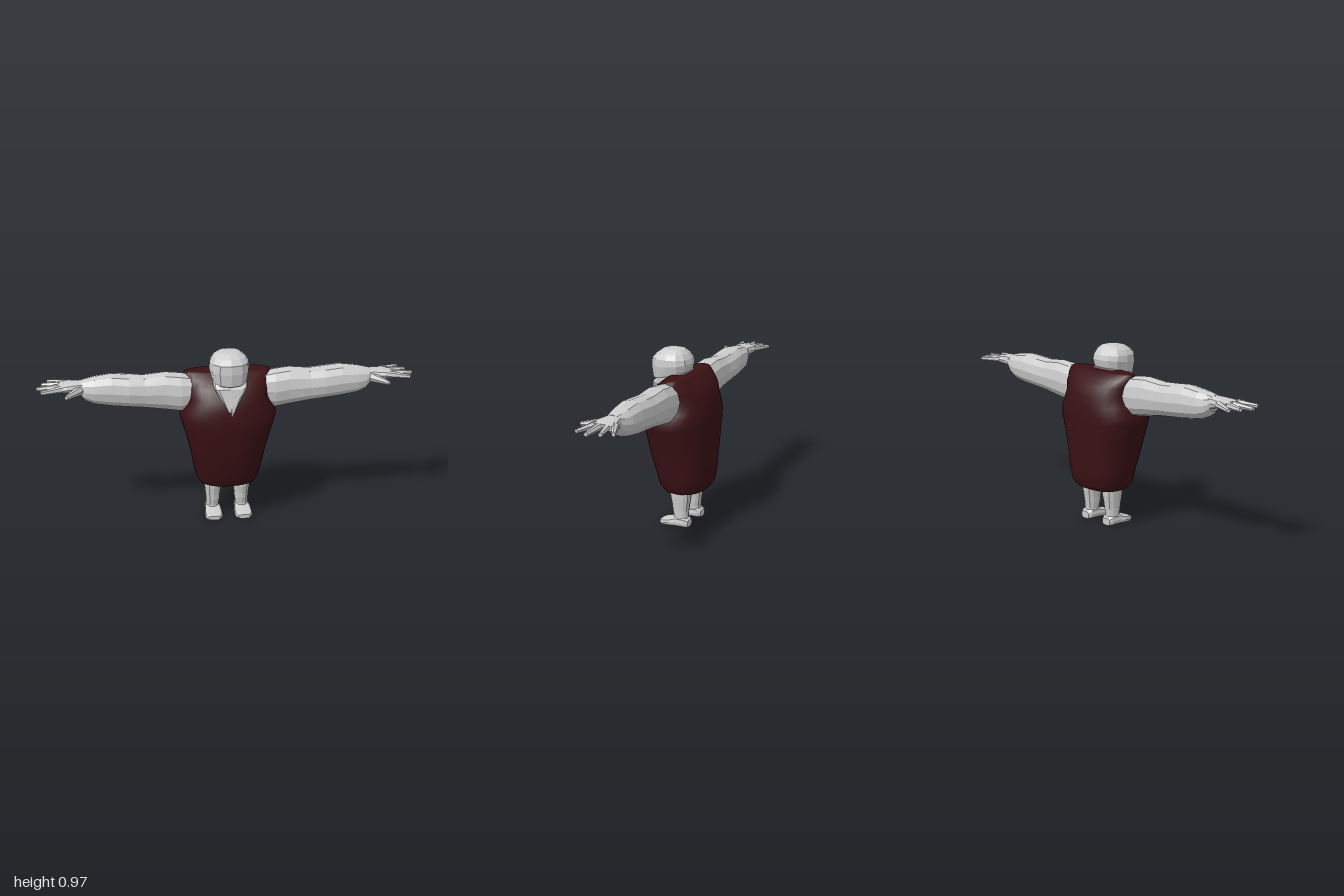
import * as THREE from 'three';

const skin = new THREE.MeshStandardMaterial({ color: 0xcccccc, flatShading: true });
const cloth = new THREE.MeshStandardMaterial({ color: 0x3a1114 });

// Where each ring's (t, a, b) goes for a loft running along that axis.
const place = {
  x: (t, a, b) => [t, b, a],
  y: (t, a, b) => [a, t, b],
  z: (t, a, b) => [b, a, t],
};

// Closed loft. Each ring is [t, aMin, aMax, bMin, bMax, tilt]; p squares off the outline.
function loft(name, axis, rings, n, p, material) {
  const pos = [], index = [];
  const bend = (v) => Math.sign(v) * Math.abs(v) ** (2 / p);
  for (const [t, a0, a1, b0, b1, tilt = 0] of rings) {
    for (let i = 0; i < n; i++) {
      const q = (i / n) * Math.PI * 2;
      const a = (a0 + a1) / 2 + ((a1 - a0) / 2) * bend(Math.cos(q));
      const b = (b0 + b1) / 2 + ((b1 - b0) / 2) * bend(Math.sin(q));
      pos.push(...place[axis](t + tilt * b, a, b));
    }
  }
  for (let r = 0; r < rings.length - 1; r++) {
    for (let i = 0; i < n; i++) {
      const a = r * n + i, b = r * n + ((i + 1) % n);
      index.push(a, a + n, b, b, a + n, b + n);
    }
  }
  // end caps
  for (const r of [0, rings.length - 1]) {
    const [t, a0, a1, b0, b1, tilt = 0] = rings[r];
    const mid = (b0 + b1) / 2, c = pos.length / 3;
    pos.push(...place[axis](t + tilt * mid, (a0 + a1) / 2, mid));
    for (let i = 0; i < n; i++) {
      const a = r * n + i, b = r * n + ((i + 1) % n);
      if (r === 0) index.push(c, a, b);
      else index.push(c, b, a);
    }
  }
  const g = new THREE.BufferGeometry();
  g.setAttribute('position', new THREE.Float32BufferAttribute(pos, 3));
  g.setIndex(index);
  g.computeVertexNormals();
  const mesh = new THREE.Mesh(g, material);
  mesh.name = name;
  return mesh;
}

// Tapered finger from one point to another.
function finger(name, from, to, r0, r1) {
  const a = new THREE.Vector3(...from), b = new THREE.Vector3(...to);
  const mesh = new THREE.Mesh(new THREE.CylinderGeometry(r1, r0, a.distanceTo(b), 6, 2), skin);
  mesh.position.copy(a).add(b).multiplyScalar(0.5);
  mesh.quaternion.setFromUnitVectors(new THREE.Vector3(0, 1, 0), b.sub(a).normalize());
  mesh.name = name;
  return mesh;
}

function makeArm() {
  const arm = new THREE.Group();
  // rings: x, back z, front z, low y, high y
  arm.add(loft('upperAndLowerArm', 'x', [
    [0.16, -0.07, 0.07, 0.66, 0.82],
    [0.25, -0.08, 0.08, 0.628, 0.84],
    [0.33, -0.08, 0.075, 0.64, 0.848],
    [0.44, -0.078, 0.075, 0.658, 0.837],
    [0.52, -0.085, 0.08, 0.667, 0.842],
    [0.61, -0.083, 0.073, 0.675, 0.85],
    [0.70, -0.075, 0.065, 0.69, 0.838],
    [0.745, -0.06, 0.055, 0.71, 0.828],
    [0.775, -0.048, 0.043, 0.742, 0.82],
  ], 12, 2.2, skin));
  arm.add(loft('palm', 'x', [
    [0.75, -0.045, 0.042, 0.745, 0.818],
    [0.79, -0.053, 0.05, 0.758, 0.818],
    [0.84, -0.068, 0.062, 0.768, 0.814],
    [0.885, -0.066, 0.06, 0.774, 0.807],
  ], 10, 2.8, skin));
  // root and tip as [x, z]
  const fingers = [
    [[0.84, -0.052], [0.945, -0.102]],
    [[0.86, -0.027], [0.975, -0.05]],
    [[0.86, 0.008], [1.0, 0.012]],
    [[0.86, 0.04], [0.975, 0.077]],
  ];
  for (const [[x0, z0], [x1, z1]] of fingers) {
    arm.add(finger('finger', [x0, 0.792, z0], [x1, 0.787, z1], 0.019, 0.011));
  }
  arm.add(finger('thumb', [0.775, 0.778, 0.03], [0.845, 0.778, 0.135], 0.026, 0.011));
  return arm;
}

function makeLeg() {
  const leg = new THREE.Group();
  // rings: y, inner x, outer x, back z, front z
  leg.add(loft('lowerLeg', 'y', [
    [0.03, 0.045, 0.118, -0.064, 0.02],
    [0.06, 0.046, 0.116, -0.062, 0.018],
    [0.095, 0.041, 0.117, -0.066, 0.026],
    [0.125, 0.039, 0.12, -0.07, 0.029],
    [0.17, 0.032, 0.125, -0.078, 0.038],
    [0.24, 0.03, 0.13, -0.08, 0.042],
  ], 12, 2.2, skin));
  // rings: z, low y, high y, inner x, outer x
  leg.add(loft('foot', 'z', [
    [-0.073, 0.003, 0.043, 0.055, 0.112],
    [-0.055, 0, 0.056, 0.042, 0.122],
    [0.0, 0, 0.058, 0.038, 0.125],
    [0.03, 0, 0.046, 0.034, 0.13],
    [0.07, 0, 0.036, 0.034, 0.13],
    [0.092, 0.004, 0.028, 0.05, 0.115],
  ], 12, 3.2, skin));
  return leg;
}

export function createModel() {
  const model = new THREE.Group();
  model.name = 'stoutFigure';

  // tunic: half width, back z, front z at each height
  const tunic = [
    [0.192, 0.115, -0.10, 0.06],
    [0.205, 0.15, -0.135, 0.09],
    [0.235, 0.17, -0.158, 0.114],
    [0.30, 0.185, -0.17, 0.13],
    [0.40, 0.203, -0.174, 0.16],
    [0.50, 0.228, -0.18, 0.177],
    [0.58, 0.252, -0.183, 0.185],
    [0.62, 0.26, -0.183, 0.184],
    [0.67, 0.236, -0.182, 0.178],
    [0.72, 0.218, -0.172, 0.165],
    [0.775, 0.224, -0.155, 0.13],
    [0.81, 0.229, -0.122, 0.088],
    [0.838, 0.23, -0.085, 0.045],
    [0.845, 0.21, -0.07, 0.03],
  ].map(([y, w, back, front]) => [y, -w, w, back, front]);
  model.add(loft('tunic', 'y', tunic, 28, 2.4, cloth));

  // bare chest and neck showing through the V opening
  const chest = [
    [0.645, 0.003, 0.182],
    [0.70, 0.036, 0.176],
    [0.745, 0.062, 0.166],
    [0.79, 0.088, 0.158],
    [0.82, 0.09, 0.13],
    [0.85, 0.075, 0.09],
  ].map(([y, w, front]) => [y, -w, w, -0.03, front]);
  model.add(loft('chestAndNeck', 'y', chest, 16, 6, skin));

  // head, its jaw line rising toward the back
  const head = [
    [0.832, 0.075, -0.02, 0.14, -0.28],
    [0.85, 0.094, -0.038, 0.168, -0.26],
    [0.89, 0.105, -0.046, 0.175, -0.1],
    [0.92, 0.102, -0.04, 0.172, 0],
    [0.947, 0.085, -0.022, 0.147, 0],
    [0.966, 0.058, 0.0, 0.118, 0],
    [0.971, 0.035, 0.025, 0.095, 0],
  ].map(([y, w, back, front, tilt]) => [y, -w, w, back, front, tilt]);
  model.add(loft('head', 'y', head, 12, 2.4, skin));

  // limbs, mirrored
  for (const [side, s] of [['left', 1], ['right', -1]]) {
    const arm = makeArm(), leg = makeLeg();
    arm.name = side + 'Arm';
    leg.name = side + 'Leg';
    arm.scale.x = leg.scale.x = s;
    model.add(arm, leg);
  }
  return model;
}
